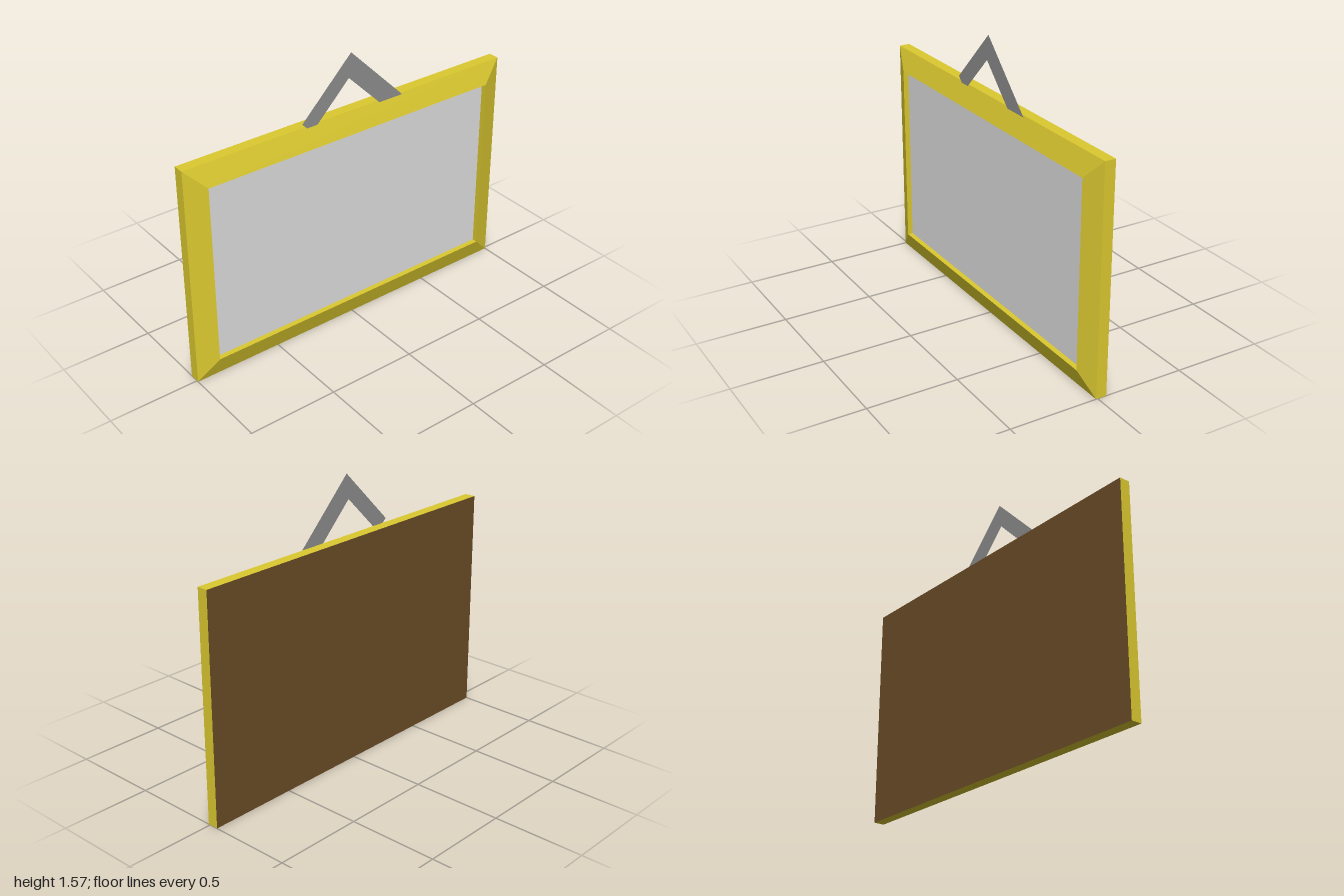
import * as THREE from 'three';

const W = 2, H = 1.25, RIM = 0.115;

const material = (name, color, side = THREE.FrontSide) =>
  Object.assign(new THREE.MeshStandardMaterial({ color, side }), { name });

// Four corners of a rectangle at depth x, inset from the outer edge
function ring(x, inset) {
  const z = W / 2 - inset, low = inset, high = H - inset;
  return [[x, low, z], [x, low, -z], [x, high, -z], [x, high, z]];
}

// Sweeps the moulding profile around the rectangle with mitred corners
function frameGeometry(profile) {
  const rings = profile.map(([x, inset]) => ring(x, inset));
  const points = [];
  for (let k = 0; k < rings.length - 1; k++) {
    const a = rings[k], b = rings[k + 1];
    for (let i = 0; i < 4; i++) {
      const j = (i + 1) % 4;
      points.push(...a[i], ...a[j], ...b[j], ...a[i], ...b[j], ...b[i]);
    }
  }
  const geometry = new THREE.BufferGeometry();
  geometry.setAttribute('position', new THREE.Float32BufferAttribute(points, 3));
  geometry.computeVertexNormals();
  return geometry;
}

export function createModel() {
  const gold = material('gold', 0xdcca30);
  const paper = material('pale grey', 0xe0e0e0, THREE.DoubleSide);
  const wood = material('dark brown', 0x6d4e27, THREE.DoubleSide);
  const metal = material('mid grey', 0x8f8f8f, THREE.DoubleSide);

  const model = new THREE.Group();
  model.name = 'pictureFrame';
  const add = (name, geometry, mat) => {
    const mesh = new THREE.Mesh(geometry, mat);
    mesh.name = name;
    model.add(mesh);
  };

  // Moulding: outer side, sloped face, inner wall
  add('frame', frameGeometry([[-0.05, 0], [0.01, 0], [0.05, RIM], [0.02, RIM]]), gold);

  // Recessed picture sheet
  add('picture', new THREE.PlaneGeometry(W - 2 * RIM, H - 2 * RIM)
    .rotateY(Math.PI / 2).translate(0.02, H / 2, 0), paper);

  // Backing board
  add('backPanel', new THREE.PlaneGeometry(W, H)
    .rotateY(-Math.PI / 2).translate(-0.05, H / 2, 0), wood);

  // Flat bent hanger, its feet tucked into the frame
  const outline = [[-0.313, 1.27], [-0.01, 1.573], [0.36, 1.203],
    [0.21, 1.203], [-0.024, 1.437], [-0.252, 1.209]];
  const hanger = new THREE.Shape(outline.map(([x, y]) => new THREE.Vector2(x, y)));
  add('hanger', new THREE.ShapeGeometry(hanger)
    .rotateY(Math.PI / 2).translate(0.0135, 0, 0), metal);

  return model;
}
